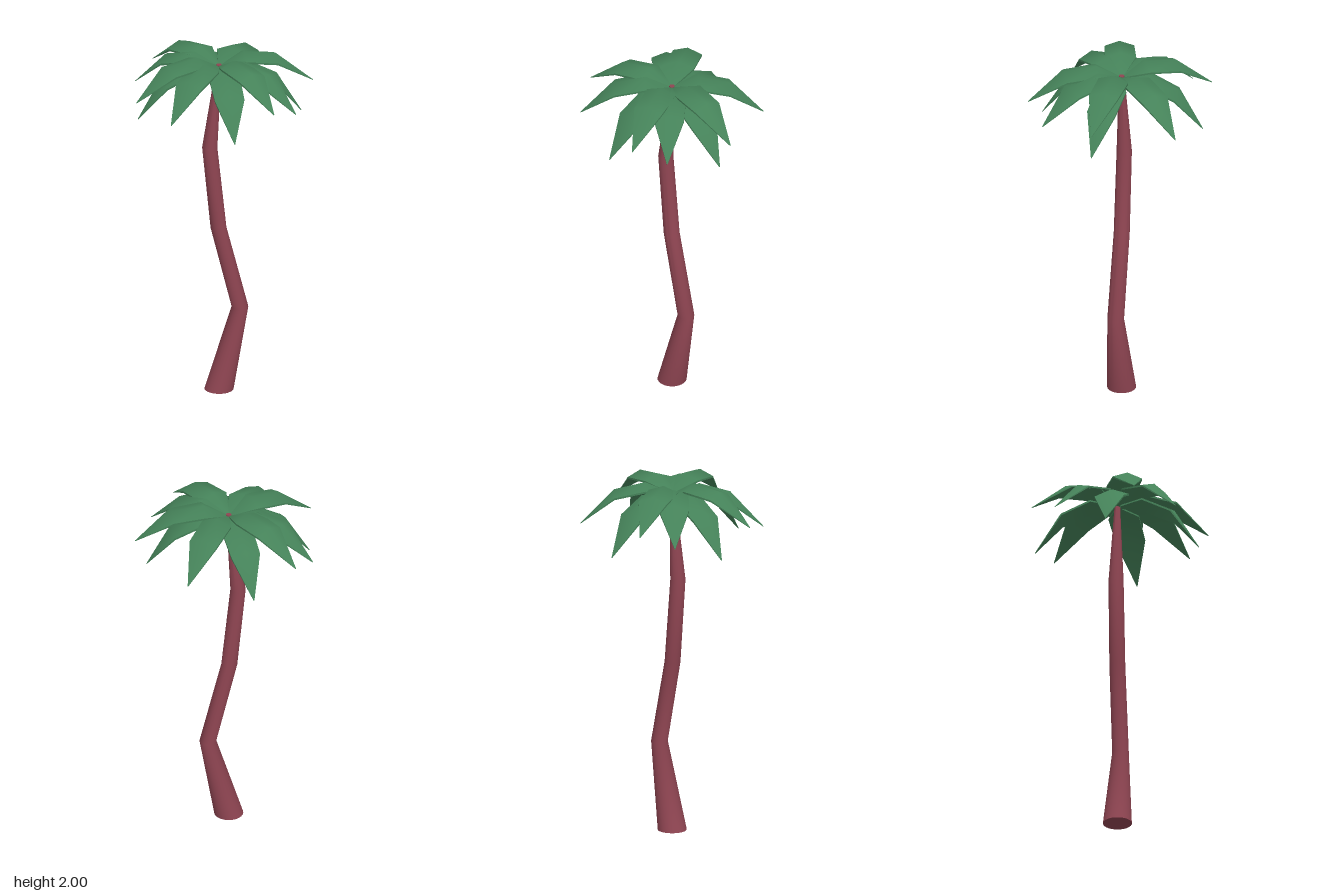
import * as THREE from 'three';
import { mergeVertices, toCreasedNormals } from 'three/addons/utils/BufferGeometryUtils.js';

const barkMaterial = new THREE.MeshStandardMaterial({ color: 0x8f4552 });
const leafMaterial = new THREE.MeshStandardMaterial({ color: 0x458259, side: THREE.DoubleSide });
const CENTRE = -0.015;

// Crooked tapering trunk: [x, y, radius] of each horizontal ring, bottom to top
function makeTrunk() {
  const rings = [
    [-0.015, 0, 0.08], [0.102, 0.48, 0.046], [-0.018, 0.96, 0.044],
    [-0.067, 1.44, 0.042], [-0.015, 1.93, 0.015],
  ];
  const geometry = new THREE.CylinderGeometry(1, 1, 1, 24, rings.length - 1);
  const p = geometry.attributes.position;
  for (let i = 0; i < p.count; i++) {
    const [x, y, r] = rings[Math.round((p.getY(i) + 0.5) * (rings.length - 1))];
    p.setXYZ(i, x + p.getX(i) * r, y, CENTRE + p.getZ(i) * r);
  }
  geometry.deleteAttribute('uv');
  geometry.deleteAttribute('normal');
  const trunk = new THREE.Mesh(toCreasedNormals(mergeVertices(geometry), 0.8), barkMaterial);
  trunk.name = 'trunk';
  return trunk;
}

// Thin arched leaf along +x with a raised midrib
function makeLeafGeometry() {
  // [length along leaf, midrib height, half width, drop of the edges]
  const stations = [
    [0, 0, 0.004, 0], [0.14, 0.08, 0.086, 0.03],
    [0.315, 0.06, 0.082, 0.03], [0.52, -0.11, 0.002, 0],
  ];
  const thickness = 0.01;
  const vertices = [], indices = [];
  stations.forEach(([x, y, w, drop], i) => {
    const t = i === stations.length - 1 ? 0.003 : thickness;
    vertices.push(
      x, y - drop, -w, x, y, 0, x, y - drop, w,
      x, y - drop - t, w, x, y - t, 0, x, y - drop - t, -w,
    );
    if (i === 0) return;
    for (let j = 0; j < 6; j++) {
      const a = (i - 1) * 6 + j, b = (i - 1) * 6 + (j + 1) % 6;
      indices.push(a, b, a + 6, b, b + 6, a + 6);
    }
  });
  const geometry = new THREE.BufferGeometry();
  geometry.setAttribute('position', new THREE.Float32BufferAttribute(vertices, 3));
  geometry.setIndex(indices);
  return toCreasedNormals(geometry, 1.0);
}

// Three tiers of leaves, each tier drooping more than the one above
function makeCrown() {
  const crown = new THREE.Group();
  crown.name = 'crown';
  crown.position.set(CENTRE, 1.92, CENTRE);
  const leaf = makeLeafGeometry();
  const tiers = [
    { name: 'upperLeaf', droop: 0, angles: [2.7, 65.6, 161.6, 236.6] },
    { name: 'middleLeaf', droop: 7, angles: [43.8, 132.6, 215, 308] },
    { name: 'lowerLeaf', droop: 19.5, angles: [5.5, 90, 180, 263.7] },
  ];
  for (const { name, droop, angles } of tiers) {
    angles.forEach((angle, i) => {
      const mesh = new THREE.Mesh(leaf, leafMaterial);
      mesh.name = name + (i + 1);
      mesh.rotation.set(0, -THREE.MathUtils.degToRad(angle), -THREE.MathUtils.degToRad(droop));
      crown.add(mesh);
    });
  }
  return crown;
}

export function createModel() {
  const palm = new THREE.Group();
  palm.name = 'palmTree';
  palm.add(makeTrunk(), makeCrown());
  return palm;
}
